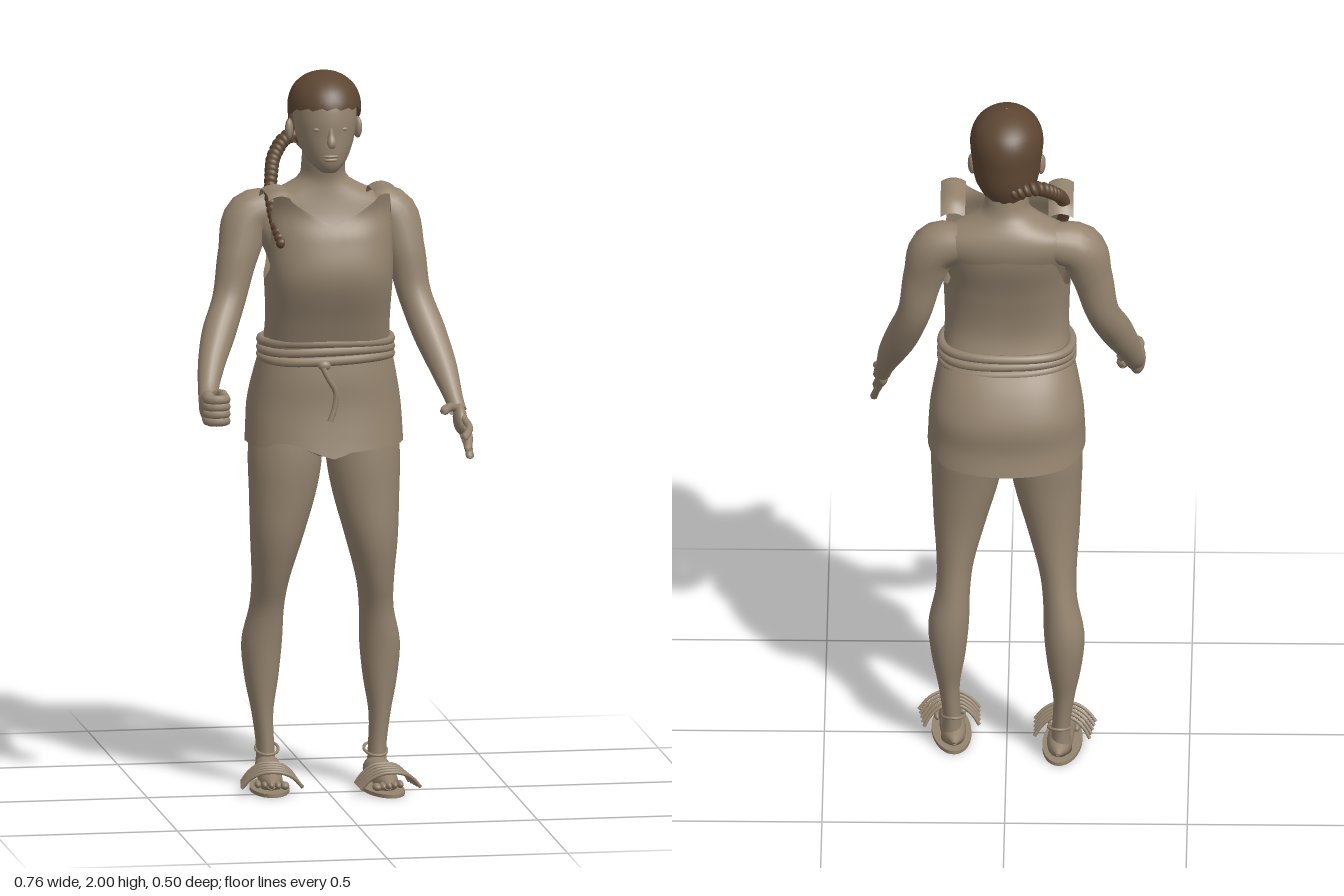
import * as THREE from 'three';

const skin = new THREE.MeshStandardMaterial({ color: 0x95846f, side: THREE.DoubleSide });
skin.name = 'tan skin and cloth';
const brown = new THREE.MeshStandardMaterial({ color: 0x5d4632, side: THREE.DoubleSide });
brown.name = 'brown hair';

const V = (p) => new THREE.Vector3(p[0], p[1], p[2]);

function add(parent, name, geo, mat = skin) {
  const m = new THREE.Mesh(geo, mat);
  m.name = name;
  parent.add(m);
  return m;
}

// Smooth interpolation through rows whose first entry is the ascending key
function sample(keys, y) {
  let i = 0;
  while (i < keys.length - 2 && y > keys[i + 1][0]) i++;
  const a = keys[i], b = keys[i + 1], p = keys[i - 1] || a, q = keys[i + 2] || b;
  const h = b[0] - a[0], t = Math.min(1, Math.max(0, (y - a[0]) / h));
  return a.map((_, k) => {
    const ma = (b[k] - p[k]) / (b[0] - p[0]) * h, mb = (q[k] - a[k]) / (q[0] - a[0]) * h;
    const t2 = t * t, t3 = t2 * t;
    return (2 * t3 - 3 * t2 + 1) * a[k] + (t3 - 2 * t2 + t) * ma + (3 * t2 - 2 * t3) * b[k] + (t3 - t2) * mb;
  });
}

// Stacked rings; keys are [y, half width, front z, back z, centre x]; the angle starts at the front
function shell(keys, { bottom, top, power = 1, rows = 24, cols = 48, caps = false, ease = (t) => t } = {}) {
  const lo = bottom || (() => keys[0][0]), hi = top || (() => keys[keys.length - 1][0]);
  const pos = [], idx = [];
  const pw = (v) => Math.sign(v) * Math.abs(v) ** power;
  for (let i = 0; i <= rows; i++) for (let j = 0; j < cols; j++) {
    const a = j / cols * Math.PI * 2;
    const y = lo(a) + (hi(a) - lo(a)) * ease(i / rows);
    const [, rx, zf, zb, cx = 0] = sample(keys, y);
    pos.push(cx + rx * pw(Math.sin(a)), y, (zf + zb) / 2 + (zf - zb) / 2 * pw(Math.cos(a)));
    if (i < rows) {
      const n = (j + 1) % cols, r = i * cols, s = r + cols;
      idx.push(r + j, r + n, s + j, r + n, s + n, s + j);
    }
  }
  if (caps) [keys[0], keys[keys.length - 1]].forEach((k, e) => {
    const c = pos.length / 3, r = e * rows * cols;
    pos.push(k[4] || 0, k[0], (k[2] + k[3]) / 2);
    for (let j = 0; j < cols; j++) {
      const n = (j + 1) % cols;
      if (e) idx.push(r + j, r + n, c); else idx.push(r + n, r + j, c);
    }
  });
  const g = new THREE.BufferGeometry();
  g.setAttribute('position', new THREE.Float32BufferAttribute(pos, 3));
  g.setIndex(idx);
  g.computeVertexNormals();
  return g;
}

// Tube of changing thickness; points are [x, y, z, radius]
function limb(points, seg = 24, sides = 16) {
  const curve = new THREE.CatmullRomCurve3(points.map(V));
  const g = new THREE.TubeGeometry(curve, seg, 1, sides);
  const radii = points.map((p, i) => [i / (points.length - 1), p[3]]);
  const pos = g.attributes.position, v = new THREE.Vector3();
  for (let i = 0; i <= seg; i++) {
    const c = curve.getPointAt(i / seg);
    const r = Math.max(0.0005, sample(radii, curve.getUtoTmapping(i / seg))[1]);
    for (let j = 0; j <= sides; j++) {
      const k = i * (sides + 1) + j;
      v.fromBufferAttribute(pos, k).sub(c).multiplyScalar(r).add(c);
      pos.setXYZ(k, v.x, v.y, v.z);
    }
  }
  return g;
}
const cord = (pts, r, closed = false, seg = 32) =>
  new THREE.TubeGeometry(new THREE.CatmullRomCurve3(pts.map(V), closed), seg, r, 8, closed);

function blob(parent, name, at, size, mat = skin) {
  const m = add(parent, name, new THREE.SphereGeometry(1, 20, 14), mat);
  m.position.set(...at);
  m.scale.set(...size);
  return m;
}
// Finger with a narrow rounded tip
function finger(pts, r) {
  const [x, y, z] = pts[pts.length - 1];
  return limb([...pts.map((p) => [...p, r]), [x, y - 0.004, z, 0.001]], 16, 8);
}

// Height by angle, mirrored left and right; table is [degrees from the front, y]
const byAngle = (table) => (a) => {
  const d = THREE.MathUtils.radToDeg(a > Math.PI ? 2 * Math.PI - a : a);
  let i = 0;
  while (i < table.length - 2 && d > table[i + 1][0]) i++;
  const [p, q] = [table[i], table[i + 1]];
  return p[1] + (q[1] - p[1]) * (d - p[0]) / (q[0] - p[0]);
};

function buildHead(g) {
  add(g, 'face', shell([
    [1.73, 0.02, 0.04, 0.0], [1.75, 0.046, 0.054, -0.07], [1.79, 0.069, 0.06, -0.13], [1.83, 0.081, 0.06, -0.15],
    [1.88, 0.087, 0.06, -0.165], [1.93, 0.082, 0.048, -0.16], [1.97, 0.055, 0.01, -0.12]], { caps: true }));
  add(g, 'hairCap', shell([
    [1.75, 0.07, 0.0, -0.16], [1.8, 0.09, 0.04, -0.18], [1.86, 0.097, 0.06, -0.184], [1.91, 0.1, 0.066, -0.183],
    [1.95, 0.088, 0.048, -0.168], [1.975, 0.066, 0.02, -0.14], [1.991, 0.038, -0.015, -0.104], [2.0, 0.002, -0.057, -0.061]], {
    bottom: (a) => byAngle([[0, 1.912], [55, 1.905], [80, 1.885], [95, 1.86], [112, 1.8], [140, 1.765], [180, 1.76]])(a) + 0.004 * Math.sin(a * 16),
    ease: (t) => 1 - (1 - t) ** 2 }), brown);
  // Nose, lips, eyes and ears
  add(g, 'nose', limb([[0, 1.866, 0.052, 0.006], [0, 1.835, 0.06, 0.01], [0, 1.815, 0.069, 0.013], [0, 1.804, 0.057, 0.003]], 12, 12));
  blob(g, 'upperLip', [0, 1.779, 0.056], [0.022, 0.005, 0.008]);
  blob(g, 'lowerLip', [0, 1.769, 0.054], [0.019, 0.006, 0.008]);
  for (const s of [-1, 1]) {
    blob(g, 'eye', [s * 0.034, 1.853, 0.046], [0.014, 0.006, 0.006]);
    const ear = blob(g, 'ear', [s * 0.095, 1.835, -0.075], [0.011, 0.03, 0.018]);
    ear.rotation.y = s * 0.3;
  }
  // Braid of overlapping strands
  const path = new THREE.CatmullRomCurve3([[-0.02, 1.795, -0.16], [-0.085, 1.8, -0.15], [-0.13, 1.76, -0.105],
    [-0.15, 1.71, -0.045], [-0.158, 1.66, 0.0], [-0.155, 1.6, 0.055], [-0.145, 1.55, 0.1]].map(V));
  const braid = new THREE.Group();
  braid.name = 'braid';
  g.add(braid);
  for (let i = 0; i <= 24; i++) {
    const u = i / 24, p = path.getPointAt(u), r = 0.023 - 0.008 * u;
    const m = blob(braid, 'braidStrand', p.toArray(), [r, 0.013, r], brown);
    m.quaternion.setFromUnitVectors(new THREE.Vector3(0, 1, 0), path.getTangentAt(u).add(new THREE.Vector3(0, 0.4, 0)).normalize());
  }
}

function buildTunic(g) {
  add(g, 'tunicBody', shell([
    [1.22, 0.175, 0.078, -0.155], [1.32, 0.17, 0.115, -0.128], [1.45, 0.175, 0.163, -0.15], [1.56, 0.18, 0.147, -0.184],
    [1.63, 0.187, 0.122, -0.19], [1.69, 0.187, 0.135, -0.185]], {
    power: 0.78, rows: 32, cols: 96,
    top: byAngle([[0, 1.6], [33, 1.665], [38, 1.685], [54, 1.685], [62, 1.6], [75, 1.47], [95, 1.43], [118, 1.46], [138, 1.565], [180, 1.585]]) }));
  // Thin shoulder straps, rounded across and bent down at both ends
  for (const s of [-1, 1]) {
    const geo = new THREE.PlaneGeometry(0.068, 0.165, 8, 20).rotateX(-Math.PI / 2);
    const pos = geo.attributes.position;
    for (let i = 0; i < pos.count; i++) {
      const x = pos.getX(i), z = pos.getZ(i) + 0.028;
      const front = Math.max(0, z - 0.085) / 0.025, back = Math.max(0, -0.01 - z) / 0.045;
      pos.setXYZ(i, s * 0.148 + x, 1.695 - 0.012 * (x / 0.034) ** 2 - 0.012 * front ** 2 - 0.03 * back ** 2, z);
    }
    geo.computeVertexNormals();
    add(g, 'shoulderStrap', geo);
  }
  add(g, 'skirt', shell([
    [0.93, 0.218, 0.112, -0.247], [1.0, 0.215, 0.1, -0.235], [1.08, 0.21, 0.09, -0.236], [1.16, 0.196, 0.088, -0.205],
    [1.24, 0.178, 0.08, -0.155]], {
    power: 0.85, cols: 72,
    bottom: (a) => byAngle([[0, 0.945], [10, 0.962], [40, 0.968], [90, 0.972], [135, 0.945], [180, 0.94]])(a)
      + (a > 5.3 && a < 6.1 ? 0.02 * Math.sin((a - 5.3) / 0.8 * Math.PI) : 0) }));
  // Rope belt with a hanging end
  for (let k = 0; k < 3; k++) {
    const pts = [];
    for (let i = 0; i < 24; i++) {
      const a = i / 24 * Math.PI * 2, s = Math.sin(a), c = Math.cos(a);
      pts.push([0.178 * Math.sign(s) * Math.abs(s) ** 0.85, 1.215 + k * 0.023 + 0.004 * Math.sin(a * 2 + k),
        -0.036 + 0.123 * Math.sign(c) * Math.abs(c) ** 0.85]);
    }
    add(g, 'beltRope', cord(pts, 0.013, true, 72));
  }
  add(g, 'beltEnd', cord([[-0.03, 1.2, 0.1], [-0.015, 1.17, 0.102], [0.006, 1.13, 0.1], [0.003, 1.09, 0.1], [-0.01, 1.05, 0.103]], 0.008));
  blob(g, 'beltKnot', [-0.025, 1.205, 0.095], [0.018, 0.014, 0.012]);
}

function buildBody(g) {
  add(g, 'neckAndShoulders', shell([
    [1.4, 0.13, -0.02, -0.125], [1.48, 0.155, 0.005, -0.145], [1.54, 0.18, 0.015, -0.17], [1.6, 0.2, -0.005, -0.188],
    [1.64, 0.18, -0.015, -0.185], [1.67, 0.115, -0.02, -0.172], [1.7, 0.067, -0.022, -0.152], [1.74, 0.06, -0.01, -0.143],
    [1.79, 0.058, 0.0, -0.14]], { caps: true }));
  add(g, 'hips', shell([[0.93, 0.03, -0.02, -0.11], [0.955, 0.12, 0.02, -0.16], [1.01, 0.175, 0.04, -0.19],
    [1.1, 0.175, 0.05, -0.185], [1.2, 0.15, 0.05, -0.12]], { caps: true }));

  // Arms
  add(g, 'leftArm', limb([[0.11, 1.61, -0.11, 0.05], [0.19, 1.59, -0.106, 0.069], [0.227, 1.49, -0.088, 0.056], [0.252, 1.37, -0.075, 0.046],
    [0.285, 1.27, -0.03, 0.046], [0.315, 1.18, 0.03, 0.038], [0.336, 1.1, 0.088, 0.025], [0.343, 1.07, 0.11, 0.024]], 36, 20));
  add(g, 'rightArm', limb([[-0.11, 1.61, -0.11, 0.05], [-0.197, 1.59, -0.106, 0.069], [-0.234, 1.49, -0.088, 0.056], [-0.262, 1.37, -0.07, 0.046],
    [-0.3, 1.28, -0.02, 0.046], [-0.328, 1.205, 0.03, 0.037], [-0.345, 1.14, 0.08, 0.028], [-0.348, 1.115, 0.11, 0.028]], 36, 20));

  // Open left hand
  const palm = blob(g, 'leftPalm', [0.345, 1.053, 0.132], [0.019, 0.036, 0.046]);
  palm.rotation.x = 0.75;
  [[0.035, 1.02, 0.245], [0.0, 0.985, 0.238], [-0.02, 0.96, 0.215], [-0.04, 0.952, 0.18]].forEach(([, y, z], i) => {
    const b = [0.35, 1.06 - i * 0.013, 0.16 - i * 0.012];
    add(g, 'leftFinger', finger([b, [0.36, (b[1] + y) / 2, (b[2] + z) / 2], [0.34 + i * 0.009, y, z]], 0.01));
  });
  add(g, 'leftThumb', finger([[0.338, 1.08, 0.12], [0.312, 1.09, 0.155], [0.29, 1.085, 0.195]], 0.012));

  // Closed right hand
  blob(g, 'rightPalm', [-0.354, 1.108, 0.132], [0.024, 0.044, 0.045]);
  for (let i = 0; i < 4; i++) {
    const y = 1.075 + i * 0.02;
    add(g, 'rightFinger', finger([[-0.358, y, 0.135], [-0.359, y, 0.175], [-0.335, y, 0.188], [-0.31, y, 0.172], [-0.32, y, 0.148]], 0.0135));
  }
  add(g, 'rightThumb', finger([[-0.345, 1.13, 0.105], [-0.32, 1.142, 0.125], [-0.315, 1.142, 0.165]], 0.012));

  // Legs, the left one slightly ahead
  for (const s of [1, -1]) {
    const leg = new THREE.Group();
    leg.name = s > 0 ? 'leftLeg' : 'rightLeg';
    g.add(leg);
    // The right leg slants back from the hip
    const shift = (y) => (s > 0 ? 0 : -0.06 + 0.035 * THREE.MathUtils.smoothstep(y, 0.4, 1.0));
    // [y, inner x, outer x, front z, back z]
    const keys = [[0.03, 0.12, 0.18, -0.04, -0.12], [0.1, 0.125, 0.175, -0.045, -0.118], [0.2, 0.128, 0.187, -0.043, -0.127],
      [0.3, 0.113, 0.206, -0.036, -0.147], [0.4, 0.103, 0.214, -0.027, -0.154], [0.5, 0.1, 0.194, -0.012, -0.142],
      [0.58, 0.089, 0.192, 0.015, -0.132], [0.7, 0.056, 0.2, 0.042, -0.128], [0.83, 0.02, 0.205, 0.046, -0.138],
      [0.93, 0.004, 0.208, 0.045, -0.15], [1.05, 0.01, 0.2, 0.035, -0.15]]
      .map(([y, a, b, f, k]) => [y, (b - a) / 2, f + shift(y), k + shift(y), s * (a + b) / 2]);
    add(leg, 'legSkin', shell(keys, { rows: 44, cols: 28, caps: true }));
    // Foot, turned out a little
    const foot = new THREE.Group();
    foot.name = 'foot';
    foot.position.set(s * 0.152, 0, shift(0));
    foot.rotation.y = s * 0.08;
    leg.add(foot);
    add(foot, 'footSkin', limb([[0, 0.035, -0.128, 0.005], [0, 0.042, -0.11, 0.028], [0, 0.05, -0.06, 0.036], [0, 0.04, 0.0, 0.033],
      [0, 0.03, 0.05, 0.032], [0, 0.024, 0.075, 0.012]], 24, 16));
    for (let i = 0; i < 5; i++)
      blob(foot, 'toe', [s * (i - 2) * 0.018, 0.025, 0.08 - i * 0.007], [i ? 0.009 : 0.012, 0.011, 0.02]);
    const sole = add(foot, 'sandalSole', new THREE.CylinderGeometry(1, 1, 0.01, 36));
    sole.scale.set(0.054, 1, 0.127);
    sole.position.set(0, 0.005, 0.002);
    // Sandal straps arching over the toes
    for (let i = 0; i < 5; i++) {
      const z = 0.0 + i * 0.024, w = 0.076 + i * 0.002, h = 0.076 - i * 0.002;
      add(foot, 'sandalStrap', cord([[-w, 0.022, z - 0.004], [-0.058, 0.05, z + 0.004], [-0.03, h - 0.004, z + 0.011], [0, h, z + 0.014],
        [0.03, h - 0.004, z + 0.011], [0.058, 0.05, z + 0.004], [w, 0.022, z - 0.004]], 0.005, false, 24));
    }
    const loop = [];
    for (let i = 0; i < 12; i++) {
      const a = i / 12 * Math.PI * 2;
      loop.push([0.031 * Math.sin(a), 0.1 + 0.012 * Math.cos(a + Math.PI), -0.082 + 0.04 * Math.cos(a)]);
    }
    add(foot, 'ankleStrap', cord(loop, 0.004, true));
  }
}

export function createModel() {
  const model = new THREE.Group();
  model.name = 'figure';
  for (const [name, build] of [['head', buildHead], ['body', buildBody], ['tunic', buildTunic]]) {
    const part = new THREE.Group();
    part.name = name;
    build(part);
    model.add(part);
  }
  return model;
}
